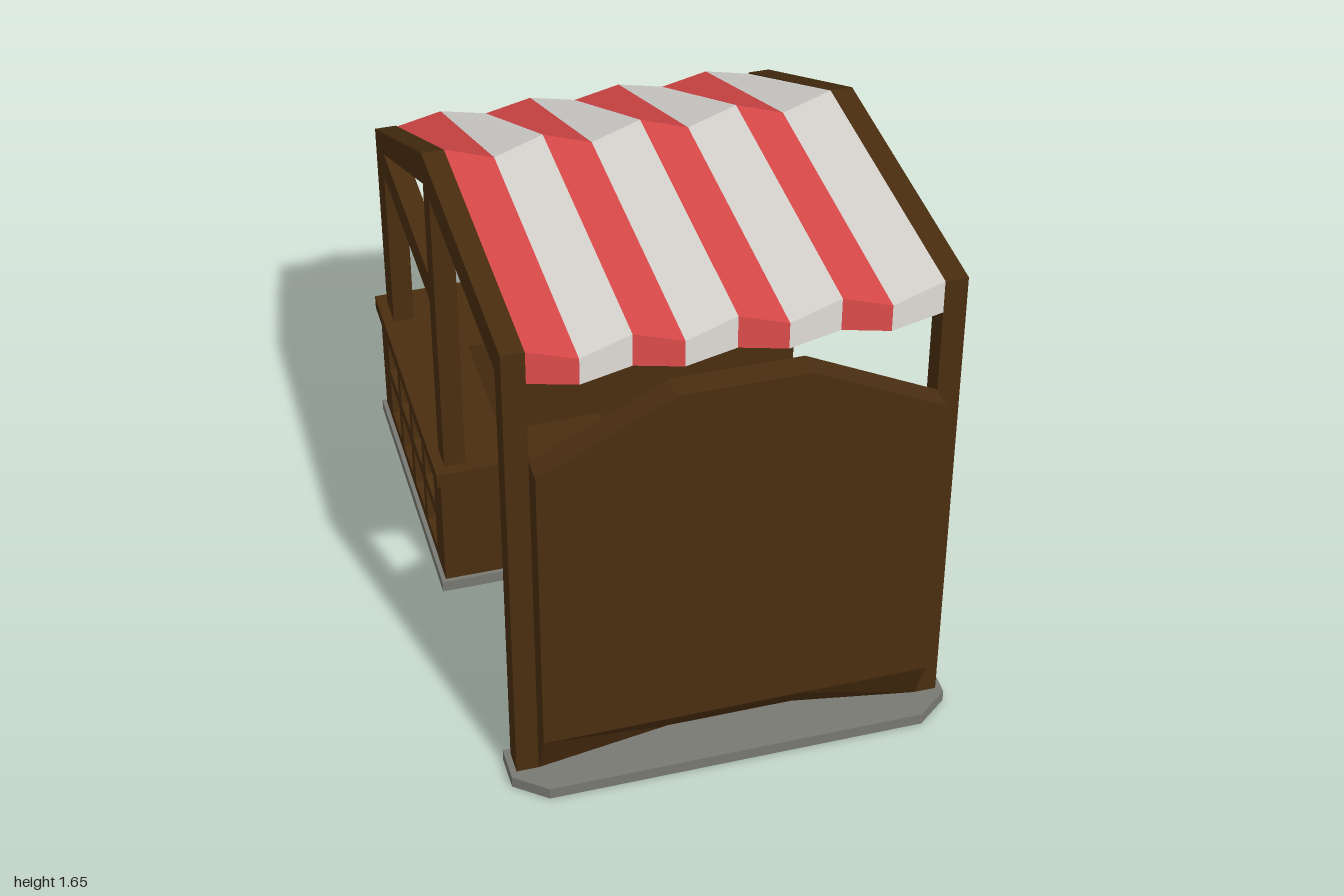
import * as THREE from 'three';

const mat = (name, color) => Object.assign(new THREE.MeshStandardMaterial({ color }), { name });

export function createModel() {
  const model = new THREE.Group();
  model.name = 'marketStall';
  const wood = mat('darkWood', 0x4a2e10);
  const stone = mat('greyStone', 0x787972);
  const red = mat('redCloth', 0xdc4a4a);
  const white = mat('whiteCloth', 0xe0ddd8);

  const add = (name, geometry, material = wood) => {
    const mesh = new THREE.Mesh(geometry, material);
    mesh.name = name;
    model.add(mesh);
    return mesh;
  };
  // Box from its minimum and maximum on each axis
  const box = (name, x0, x1, y0, y1, z0, z1) =>
    add(name, new THREE.BoxGeometry(x1 - x0, y1 - y0, z1 - z0)
      .translate((x0 + x1) / 2, (y0 + y1) / 2, (z0 + z1) / 2));
  const shapeOf = (pts) => new THREE.Shape(pts.map(([a, b]) => new THREE.Vector2(a, b)));
  const extrude = (shape, depth) => new THREE.ExtrudeGeometry(shape, { depth, bevelEnabled: false });
  // Flat slab from an x, z outline
  const slab = (name, pts, y, h, material) =>
    add(name, extrude(shapeOf(pts.map(([x, z]) => [x, -z])), h).rotateX(-Math.PI / 2).translate(0, y, 0), material);
  // Upright panel with rectangular openings [u0, u1, y0, y1]
  const panel = (u0, u1, openings, depth) => {
    const rect = (a, b, c, d) => [[a, c], [b, c], [b, d], [a, d]];
    const shape = shapeOf(rect(u0, u1, 0.04, 0.45));
    for (const o of openings) shape.holes.push(shapeOf(rect(...o)));
    return extrude(shape, depth);
  };
  // Four-cornered sections joined from front to back
  const loft = (name, sections, material) => {
    const pos = [];
    const quad = (a, b, c, d) => pos.push(...a, ...b, ...c, ...a, ...c, ...d);
    for (let s = 0; s < sections.length - 1; s++) {
      const f = sections[s], b = sections[s + 1];
      for (let k = 0; k < 4; k++) quad(f[k], b[k], b[(k + 1) % 4], f[(k + 1) % 4]);
    }
    quad(...sections[0]);
    quad(...[...sections[sections.length - 1]].reverse());
    const g = new THREE.BufferGeometry();
    g.setAttribute('position', new THREE.Float32BufferAttribute(pos, 3));
    g.computeVertexNormals();
    return add(name, g, material);
  };

  // Stone footings
  const cOutline = (e) => [ // C-shaped counter outline, e = overhang
    [-0.70 - e, -0.985 - e], [0.70 + e, -0.985 - e], [0.70 + e, -0.65 + e], [-0.48 + e, -0.65 + e],
    [-0.48 + e, -0.155 - e], [-0.14 + e, -0.155 - e], [-0.14 + e, -0.015 + e], [-0.70 - e, -0.015 + e]];
  slab('frontFooting', [[-0.70, 0.80], [0.70, 0.80], [0.70, 0.92], [0.6, 1], [-0.6, 1], [-0.70, 0.92]], 0, 0.04, stone);
  slab('counterFooting', cOutline(0.014), 0, 0.04, stone);

  // Counter: top, solid core and panels with openings
  slab('counterTop', cOutline(0.014), 0.45, 0.05, wood);
  box('counterCore', -0.62, 0.70, 0.04, 0.45, -0.785, -0.65);
  box('cubbyBack', -0.62, -0.42, 0.04, 0.45, -0.885, -0.785);
  box('wingCore', -0.62, -0.48, 0.04, 0.45, -0.65, -0.155);
  box('wingEnd', -0.62, -0.14, 0.04, 0.45, -0.155, -0.015);
  const rows = [[0.08, 0.22], [0.27, 0.41]];
  add('shelfFront', panel(-0.42, 0.70, [[-0.36, 0.57, 0.1, 0.39]], 0.2).translate(0, 0, -0.985));
  box('counterShelf', -0.36, 0.57, 0.235, 0.26, -0.94, -0.785);
  add('cubbyFront', panel(-0.62, -0.42, rows.map((r) => [-0.6, -0.48, ...r]), 0.1).translate(0, 0, -0.985));
  box('counterTrim', -0.435, -0.405, 0.04, 0.45, -0.992, -0.985);
  const bins = [];
  for (let i = 0; i < 4; i++) for (const r of rows) bins.push([-0.87 + i * 0.195, -0.72 + i * 0.195, ...r]);
  add('wingFront', panel(-0.985, -0.015, bins, 0.08).rotateY(-Math.PI / 2).translate(-0.62, 0, 0));

  // Frame: posts and bent rafters on both sides
  const rafter = shapeOf([[0.9, 1.54], [0.9, 1.65], [-0.13, 1.65], [-0.96, 1.21],
    [-0.96, 1.12], [-0.84, 1.19], [-0.13, 1.54]]);
  for (const [side, x] of [['left', 0.61], ['right', -0.68]]) {
    add(side + 'Rafter', extrude(rafter, 0.07).rotateY(-Math.PI / 2).translate(x + 0.07, 0, 0));
    box(side + 'FrontPost', x, x + 0.07, 0.04, 1.54, 0.82, 0.9);
    box(side + 'BackPost', x, x + 0.07, 0.5, 1.2, -0.96, -0.84);
  }
  // Middle post and rail stand only over the counter wing
  box('middlePost', -0.68, -0.61, 0.5, 1.54, -0.13, -0.04);
  box('sideRail', -0.68, -0.61, 1.1, 1.2, -0.84, -0.13);

  // Front wall with arched top and undercut foot
  const wall = [[-0.61, 1.26, 0.04], [-0.2, 1.47, 0.11], [0.2, 1.47, 0.11], [0.61, 1.26, 0.04]];
  for (let i = 0; i < 3; i++) {
    const [xa, ta, ba] = wall[i], [xb, tb, bb] = wall[i + 1];
    loft('frontWall', [
      [[xa, 0.22, 0.98], [xb, 0.22, 0.98], [xb, tb, 0.98], [xa, ta, 0.98]],
      [[xa, ba, 0.9], [xb, bb, 0.9], [xb, tb, 0.9], [xa, ta, 0.9]]], wood);
  }
  for (const y of [0.44, 0.87]) box('wallShelf', -0.61, 0.61, y, y + 0.04, 0.82, 0.9);

  // Zigzag awning: folds swap between front and eave
  const z = [0.9, -0.13, -0.96];
  const top = [[1.65, 1.65, 1.205], [1.595, 1.595, 1.24]];
  const under = [[1.54, 1.54, 1.105], [1.505, 1.505, 1.14]];
  for (let i = 0; i < 8; i++) {
    const xa = -0.61 + i * 0.1525, xb = xa + 0.1525, a = i % 2, b = 1 - a;
    loft('awningStripe', z.map((zz, s) => [
      [xa, under[a][s], zz], [xb, under[b][s], zz], [xb, top[b][s], zz], [xa, top[a][s], zz]]),
    a ? white : red);
  }
  return model;
}
